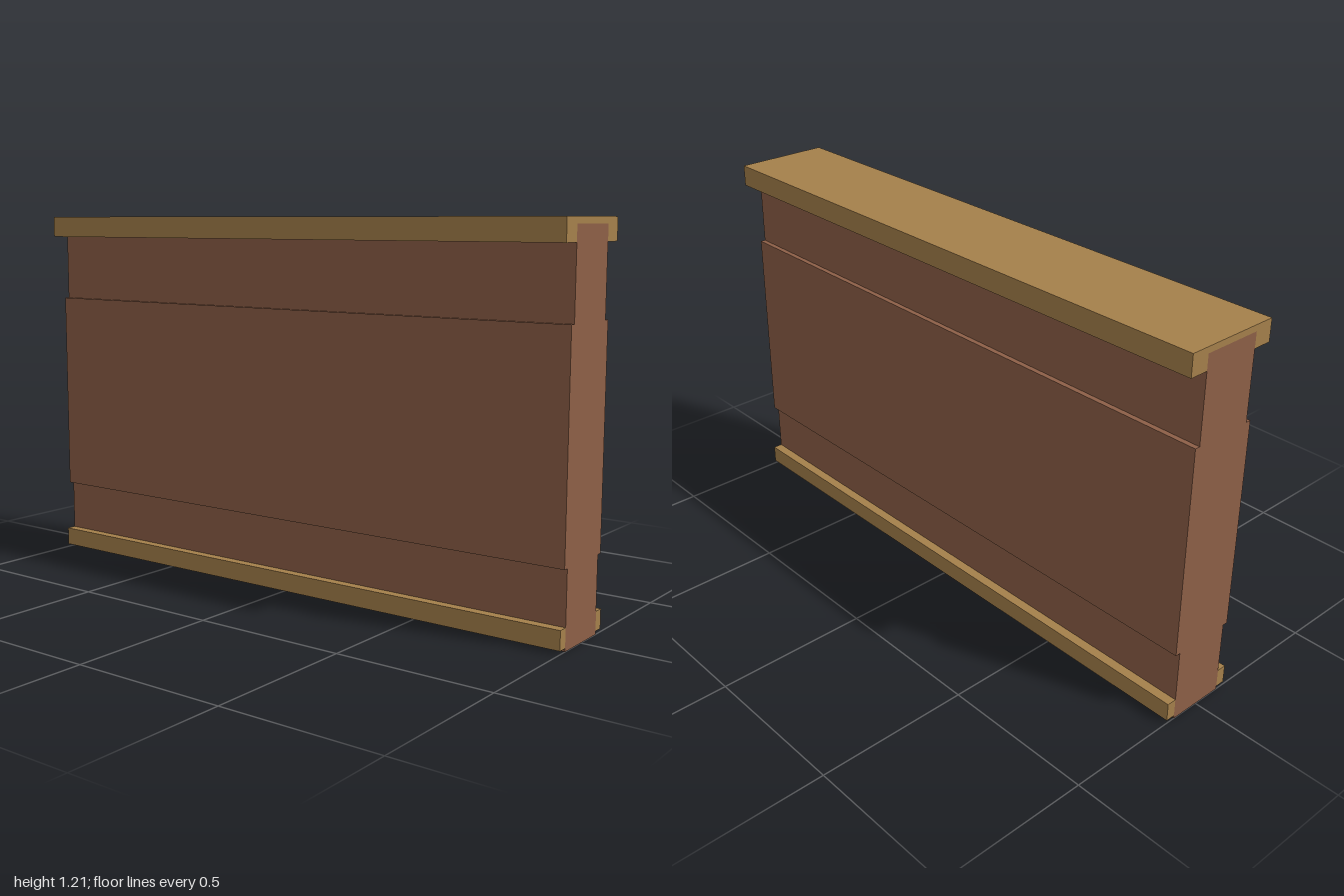
import * as THREE from 'three';

const LENGTH = 2;

export function createModel() {
  const model = new THREE.Group();
  model.name = 'wallSection';

  const brown = new THREE.MeshStandardMaterial({ color: 0x8d5f47 });
  brown.name = 'brown wood';
  const tan = new THREE.MeshStandardMaterial({ color: 0xa5804b });
  tan.name = 'tan trim';

  // Full-length bar between two heights and two depths
  function bar(name, material, y0, y1, z0, z1) {
    const mesh = new THREE.Mesh(new THREE.BoxGeometry(LENGTH, y1 - y0, z1 - z0), material);
    mesh.position.set(0, (y0 + y1) / 2, (z0 + z1) / 2);
    mesh.name = name;
    model.add(mesh);
  }

  // Core wall
  const half = 0.098;
  bar('core', brown, 0, 1.19, -half, half);

  // Raised panel and skirting on both faces
  for (const [side, s] of [['front', 1], ['back', -1]]) {
    const strip = (name, material, y0, y1, depth) =>
      bar(side + name, material, y0, y1, Math.min(s * half, s * depth), Math.max(s * half, s * depth));
    strip('Panel', brown, 0.24, 0.92, 0.115);
    strip('Skirting', tan, 0.01, 0.07, 0.13);
  }

  // Coping that sits over the core, notched so the core shows at the ends
  const profile = new THREE.Shape([
    [-0.16, 1.14], [-half, 1.14], [-half, 1.19], [half, 1.19],
    [half, 1.14], [0.16, 1.14], [0.16, 1.21], [-0.16, 1.21],
  ].map(([z, y]) => new THREE.Vector2(z, y)));
  const copingGeometry = new THREE.ExtrudeGeometry(profile, { depth: LENGTH, bevelEnabled: false });
  copingGeometry.translate(0, 0, -LENGTH / 2).rotateY(Math.PI / 2);
  const coping = new THREE.Mesh(copingGeometry, tan);
  coping.name = 'coping';
  model.add(coping);

  return model;
}
